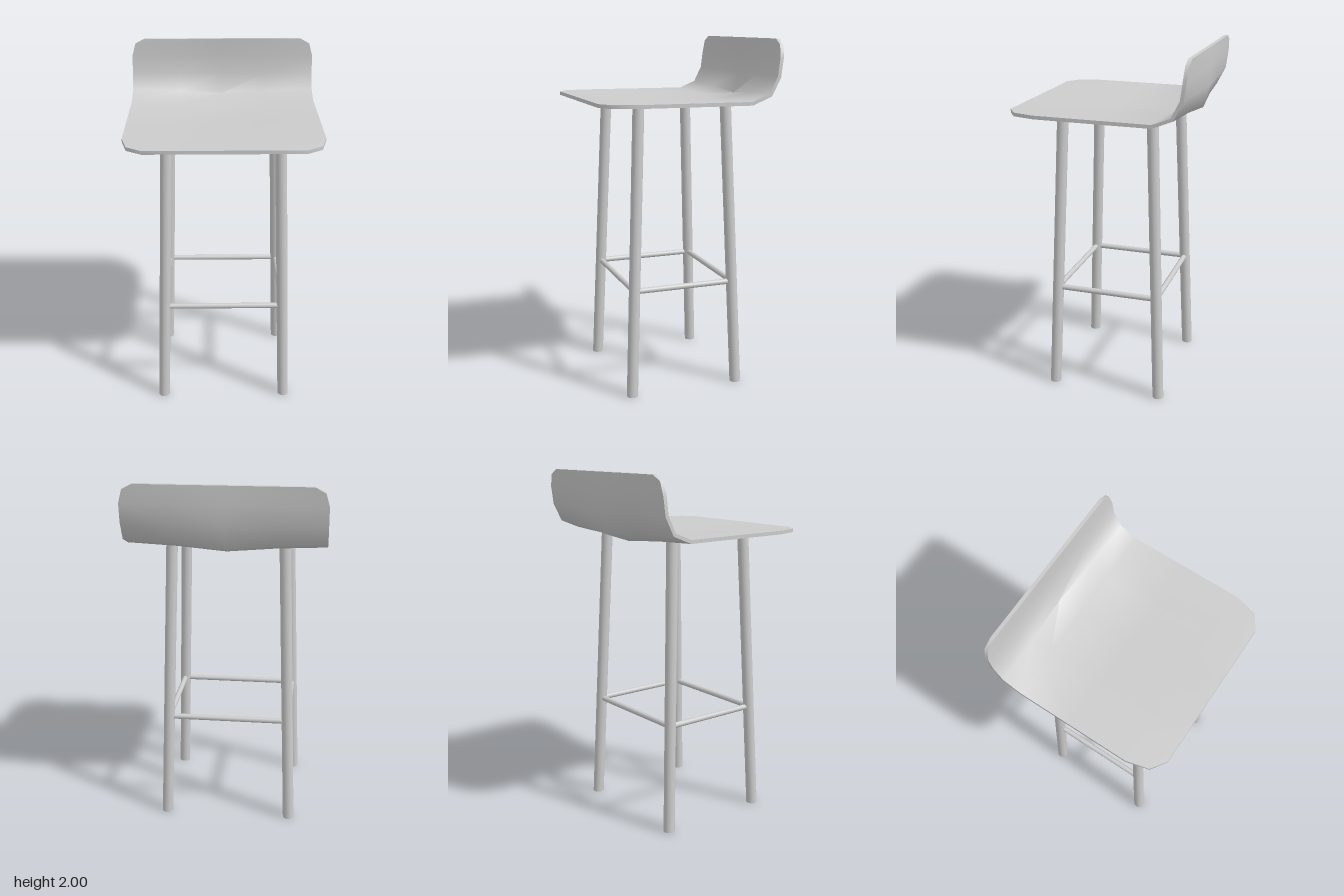
import * as THREE from 'three';
import { toCreasedNormals } from 'three/addons/utils/BufferGeometryUtils.js';

const material = new THREE.MeshStandardMaterial({ color: 0xcccccc });
const THICKNESS = 0.02;

// Side profile of the upper face: z, y, half width, dish offset in z and y at the centre line
const ROWS = [
  [0.505, 1.675, 0.425, 0, 0],
  [0.45, 1.675, 0.508, 0, -0.002],
  [0.325, 1.674, 0.54, 0, -0.008],
  [0, 1.672, 0.54, 0, -0.022],
  [-0.32, 1.67, 0.54, -0.005, -0.035],
  [-0.42, 1.71, 0.54, -0.035, -0.035],
  [-0.465, 1.8, 0.54, -0.02, -0.006],
  [-0.478, 1.9, 0.54, -0.01, 0],
  [-0.483, 1.97, 0.52, -0.003, 0],
  [-0.485, 2.0, 0.465, 0, 0],
];
// Position across the width and share of the dish offset
const COLUMNS = [[-1, 0], [-0.5, 0.35], [0, 1], [0.5, 0.35], [1, 0]];

// Dished sheet with a bent-up back, thickened along the profile normal
function seatShell() {
  const positions = [], index = [];
  const nr = ROWS.length, nc = COLUMNS.length, layer = nr * nc;
  for (const side of [0, 1]) {
    ROWS.forEach(([z, y, w, dz, dy], r) => {
      const a = ROWS[Math.max(r - 1, 0)], b = ROWS[Math.min(r + 1, nr - 1)];
      const tz = b[0] - a[0], ty = b[1] - a[1], len = Math.hypot(tz, ty);
      for (const [u, f] of COLUMNS) {
        positions.push(
          u * w,
          y + dy * f + side * THICKNESS * tz / len,
          z + dz * f - side * THICKNESS * ty / len,
        );
      }
    });
  }
  const quad = (a, b, c, d) => index.push(a, b, c, a, c, d);
  for (let r = 0; r < nr - 1; r++) {
    for (let c = 0; c < nc - 1; c++) {
      const p = r * nc + c, q = p + nc;
      quad(p, p + 1, q + 1, q);
      quad(p + layer, q + layer, q + 1 + layer, p + 1 + layer);
    }
  }
  // Rim joining the two faces
  const rim = [];
  for (let c = 0; c < nc - 1; c++) rim.push(c);
  for (let r = 0; r < nr - 1; r++) rim.push(r * nc + nc - 1);
  for (let c = nc - 1; c > 0; c--) rim.push((nr - 1) * nc + c);
  for (let r = nr - 1; r > 0; r--) rim.push(r * nc);
  rim.forEach((a, i) => {
    const b = rim[(i + 1) % rim.length];
    quad(a, a + layer, b + layer, b);
  });
  const geo = new THREE.BufferGeometry();
  geo.setAttribute('position', new THREE.Float32BufferAttribute(positions, 3));
  geo.setIndex(index);
  return toCreasedNormals(geo, 1.0);
}

// Leaning leg with level ends, made by shearing an upright cylinder
function leg(foot, top) {
  const h = top.y - foot.y;
  const geo = new THREE.CylinderGeometry(0.032, 0.032, h, 20);
  geo.translate(0, h / 2, 0);
  const shear = new THREE.Matrix4().set(
    1, (top.x - foot.x) / h, 0, foot.x,
    0, 1, 0, foot.y,
    0, (top.z - foot.z) / h, 1, foot.z,
    0, 0, 0, 1,
  );
  return geo.applyMatrix4(shear);
}

function rail(a, b) {
  const geo = new THREE.CylinderGeometry(0.016, 0.016, a.distanceTo(b), 14);
  const dir = b.clone().sub(a).normalize();
  geo.applyQuaternion(new THREE.Quaternion().setFromUnitVectors(new THREE.Vector3(0, 1, 0), dir));
  const mid = a.clone().add(b).multiplyScalar(0.5);
  return geo.translate(mid.x, mid.y, mid.z);
}

export function createModel() {
  const group = new THREE.Group();
  group.name = 'barStool';
  const add = (name, geo) => {
    const mesh = new THREE.Mesh(geo, material);
    mesh.name = name;
    group.add(mesh);
  };

  add('seatShell', seatShell());

  // Four splayed legs, in order around the stool
  const corners = [[1, 1, 'frontLeft'], [-1, 1, 'frontRight'], [-1, -1, 'backRight'], [1, -1, 'backLeft']];
  const joints = corners.map(([sx, sz, name]) => {
    const foot = new THREE.Vector3(sx * 0.364 - 0.002, 0, sz * 0.321 - 0.009);
    const top = new THREE.Vector3(sx * 0.309 - 0.002, 1.655, sz * 0.255 - 0.008);
    add(name + 'Leg', leg(foot, top));
    return foot.lerp(top, 0.615 / 1.655);
  });

  // Footrest rails between neighbouring legs
  ['front', 'right', 'back', 'left'].forEach((name, i) => {
    add(name + 'Rail', rail(joints[i], joints[(i + 1) % 4]));
  });
  return group;
}
